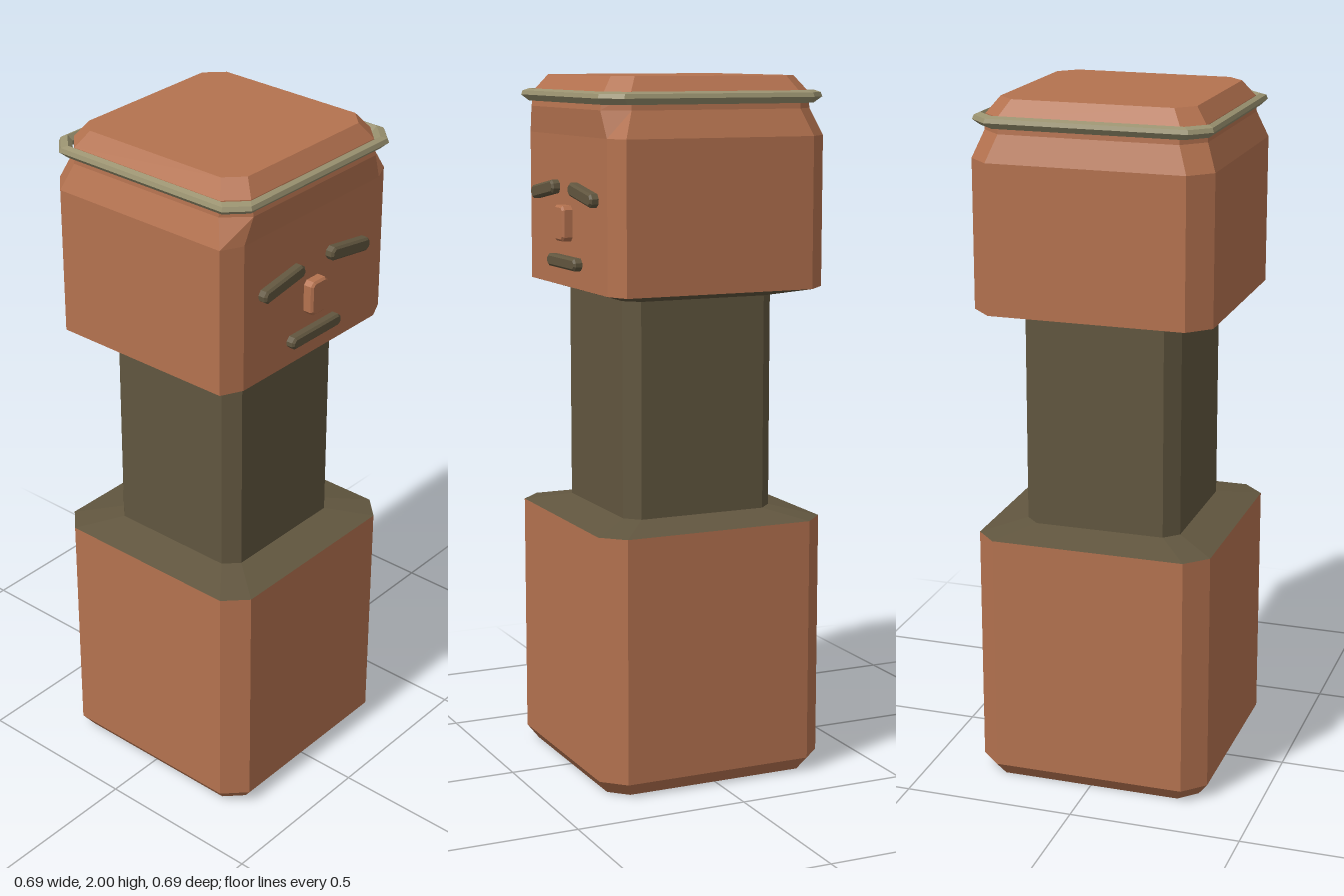
import * as THREE from 'three';

const material = (name, color) => {
  const m = new THREE.MeshStandardMaterial({ color });
  m.name = name;
  return m;
};

// Square with cut corners: half width h, straight edge reaching to f, front face at z = front
function section([y, h, f, front = h]) {
  const fz = Math.min(f, front);
  return [[f, front], [h, fz], [h, -f], [f, -h], [-f, -h], [-h, -f], [-h, fz], [-f, front]]
    .map(([x, z]) => [x, y, z]);
}

// Skin a stack of sections, bottom to top; loop joins the last to the first
function loft(rows, { bottom = false, top = false, loop = false } = {}) {
  const rings = rows.map(section);
  if (loop) rings.push(rings[0]);
  const pos = [];
  const tri = (a, b, c) => pos.push(...a, ...b, ...c);
  for (let i = 0; i < rings.length - 1; i++) {
    for (let j = 0; j < 8; j++) {
      const k = (j + 1) % 8, lo = rings[i], hi = rings[i + 1];
      tri(lo[j], lo[k], hi[k]);
      tri(lo[j], hi[k], hi[j]);
    }
  }
  const last = rings[rings.length - 1];
  for (let j = 1; j < 7; j++) {
    if (bottom) tri(rings[0][0], rings[0][j + 1], rings[0][j]);
    if (top) tri(last[0], last[j], last[j + 1]);
  }
  const g = new THREE.BufferGeometry();
  g.setAttribute('position', new THREE.Float32BufferAttribute(pos, 3));
  g.computeVertexNormals();
  return g;
}

// Small bar with cut corners and a bevelled front
function bar(w, h, depth) {
  const bevel = 0.006, c = 0.008;
  const x = w / 2 - bevel, y = h / 2 - bevel;
  const s = new THREE.Shape([
    [x - c, -y], [x, c - y], [x, y - c], [x - c, y],
    [c - x, y], [-x, y - c], [-x, c - y], [c - x, -y],
  ].map(p => new THREE.Vector2(...p)));
  return new THREE.ExtrudeGeometry(s, {
    depth: depth - bevel, bevelThickness: bevel, bevelSize: bevel, bevelSegments: 1,
  });
}

export function createModel() {
  const group = new THREE.Group();
  const clay = material('clay', 0xb4724f);
  const olive = material('dark olive', 0x61563f);
  const sage = material('sage', 0x9a9270);

  const add = (name, geometry, mat, x = 0, y = 0, z = 0, turn = 0) => {
    const mesh = new THREE.Mesh(geometry, mat);
    mesh.name = name;
    mesh.position.set(x, y, z);
    mesh.rotation.z = turn;
    group.add(mesh);
  };

  // Base block
  add('base', loft([[0, 0.315, 0.265], [0.04, 0.345, 0.283], [0.745, 0.345, 0.283]],
    { bottom: true }), clay);

  // Narrow waist with sloping shoulders above and below
  add('waist', loft([
    [0.745, 0.345, 0.283], [0.77, 0.23, 0.19],
    [1.385, 0.23, 0.19], [1.41, 0.345, 0.283, 0.313],
  ]), olive);

  // Head with set-back face, tapered brow and bevelled crown
  add('head', loft([
    [1.41, 0.345, 0.283, 0.313], [1.835, 0.345, 0.283, 0.313],
    [1.91, 0.316, 0.255, 0.32], [1.955, 0.312, 0.256], [2, 0.278, 0.229],
  ], { top: true }), clay);

  // Headband
  add('headband', loft([
    [1.925, 0.322, 0.27], [1.942, 0.34, 0.286], [1.954, 0.336, 0.283],
    [1.96, 0.322, 0.27], [1.943, 0.312, 0.262],
  ], { loop: true }), sage);

  // Face
  for (const side of [-1, 1]) {
    add(side > 0 ? 'leftBrow' : 'rightBrow', bar(0.17, 0.038, 0.026), olive,
      side * 0.14, 1.677, 0.312, -side * 0.16);
  }
  add('nose', bar(0.07, 0.1, 0.031), clay, 0, 1.59, 0.312);
  add('mouth', bar(0.21, 0.035, 0.026), olive, 0, 1.48, 0.312);

  return group;
}
